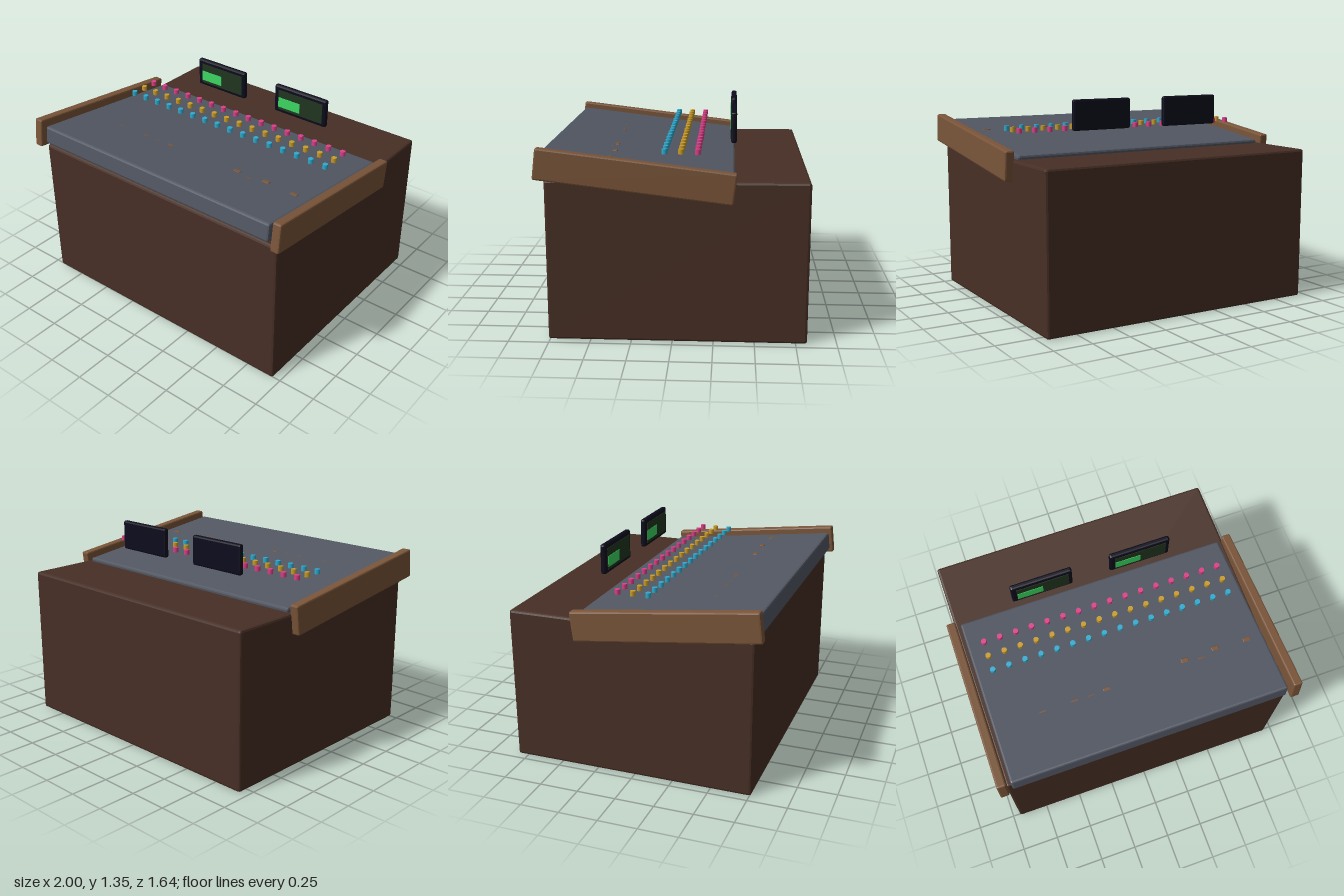
import * as THREE from 'three';
import { RoundedBoxGeometry } from 'three/addons/geometries/RoundedBoxGeometry.js';

const paint = (name, color) => {
  const m = new THREE.MeshStandardMaterial({ color });
  m.name = name;
  return m;
};

// Box with flat chamfered edges
function chamferBox(w, h, d, bevel) {
  const g = new RoundedBoxGeometry(w, h, d, 1, bevel);
  g.computeVertexNormals();
  return g;
}

function add(parent, name, geometry, material, x, y, z, tilt = 0) {
  const mesh = new THREE.Mesh(geometry, material);
  mesh.name = name;
  mesh.position.set(x, y, z);
  mesh.rotation.x = tilt;
  parent.add(mesh);
  return mesh;
}

export function createModel() {
  const group = new THREE.Group();
  group.name = 'mixingConsole';

  const darkWood = paint('dark wood', 0x472f25);
  const lightWood = paint('light wood', 0x7a5539);
  const slate = paint('slate panel', 0x525763);
  const black = paint('screen casing', 0x0c0b1c);
  const darkGreen = paint('screen glass', 0x21361f);
  const green = paint('screen glow', 0x3bd862);
  const pink = paint('pink knob', 0xdc4088);
  const yellow = paint('yellow knob', 0xc99c2a);
  const blue = paint('blue knob', 0x2fabcf);
  const tilt = -0.12;

  // Cabinet
  add(group, 'cabinet', chamferBox(1.9, 1, 1.58, 0.015), darkWood, 0, 0.5, -0.03);

  // Sloping control panel and its wooden side rails
  add(group, 'controlPanel', chamferBox(1.825, 0.12, 1.165, 0.013), slate, 0, 1.035, 0.215, tilt);
  const rail = chamferBox(0.06, 0.19, 1.19, 0.01);
  for (const s of [-1, 1])
    add(group, s > 0 ? 'leftRail' : 'rightRail', rail, lightWood, s * 0.97, 1.035, 0.217, tilt);

  // Three rows of sixteen knobs
  const knobs = new THREE.Group();
  knobs.name = 'knobs';
  group.add(knobs);
  const knob = new THREE.CylinderGeometry(0.018, 0.018, 0.032, 8);
  [[pink, -0.148], [yellow, -0.048], [blue, 0.052]].forEach(([material, z]) => {
    for (let i = 0; i < 16; i++)
      add(knobs, 'knob', knob, material, -0.8 + (i * 1.6) / 15, 1.152, z);
  });

  // Faders, half sunk into the panel: [column, z]
  const faders = new THREE.Group();
  faders.name = 'faders';
  group.add(faders);
  const fader = chamferBox(0.05, 0.03, 0.03, 0.004);
  const slots = [[2, 0.416], [4, 0.413], [5, 0.417], [6, 0.405], [11, 0.385], [12, 0.414], [13, 0.374], [15, 0.385]];
  for (const [column, z] of slots)
    add(faders, 'fader', fader, lightWood, -0.8 + (column * 1.6) / 15, 1.104, z);

  // Two upright meter screens
  for (const x of [-0.335, 0.33]) {
    const screen = new THREE.Group();
    screen.name = 'meterScreen';
    screen.position.set(x, 1.253, -0.362);
    group.add(screen);
    add(screen, 'casing', chamferBox(0.41, 0.195, 0.036, 0.012), black, 0, 0, 0);
    add(screen, 'glass', new THREE.BoxGeometry(0.35, 0.142, 0.004), darkGreen, 0.004, -0.003, 0.019);
    add(screen, 'levelBar', new THREE.BoxGeometry(0.172, 0.07, 0.004), green, -0.083, -0.02, 0.022);
  }

  return group;
}
